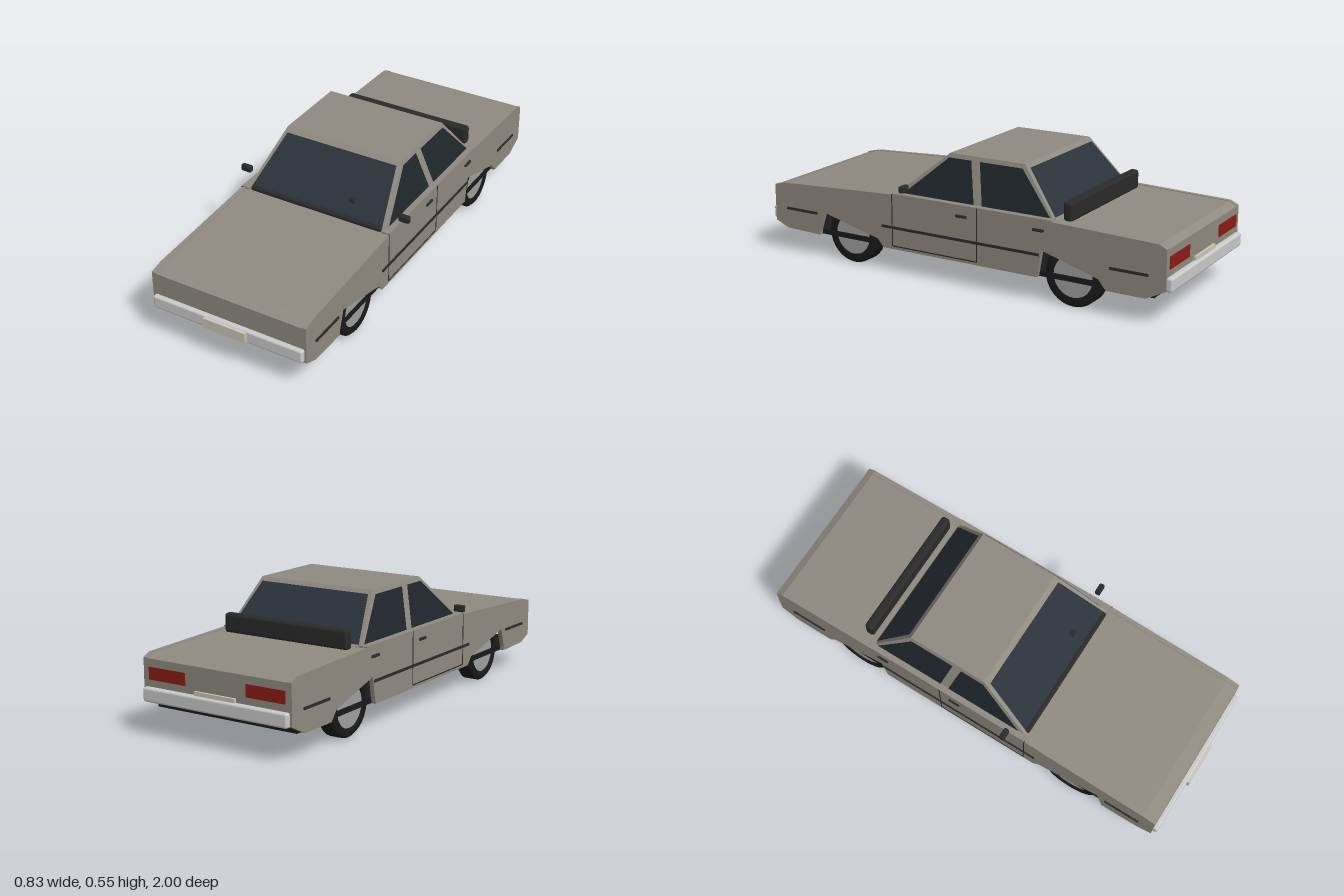
import * as THREE from 'three';
import { RoundedBoxGeometry } from 'three/addons/geometries/RoundedBoxGeometry.js';

const mat = (color, side = THREE.FrontSide) => new THREE.MeshStandardMaterial({ color, side });
const PAINT = mat(0x908b81), GLASS = mat(0x2b323a, THREE.DoubleSide), SIDE_GLASS = mat(0x20262c, THREE.DoubleSide);
const BLACK = mat(0x1a1a1a), TRIM = mat(0x2a2a2a), CHROME = mat(0xc0c0c0), HUB = mat(0xa0a0a0);
const RED = mat(0x8c1c16), PLATE = mat(0xcfc8b8);

export function createModel() {
  const car = new THREE.Group();
  car.name = 'car';

  const add = (name, geometry, material, x = 0, y = 0, z = 0) => {
    const mesh = new THREE.Mesh(geometry, material);
    mesh.name = name;
    mesh.position.set(x, y, z);
    car.add(mesh);
    return mesh;
  };
  // box given by its limits on each axis
  const box = (name, material, [x0, x1], [y0, y1], [z0, z1], radius = 0) => {
    const size = [x1 - x0, y1 - y0, z1 - z0];
    const geometry = radius ? new RoundedBoxGeometry(...size, 2, radius) : new THREE.BoxGeometry(...size);
    return add(name, geometry, material, (x0 + x1) / 2, (y0 + y1) / 2, (z0 + z1) / 2);
  };
  const shapeOf = (points) => new THREE.Shape(points.map(([a, b]) => new THREE.Vector2(a, b)));
  // (z, y) outline extruded across x
  const slab = (name, points, width, x) => {
    const geometry = new THREE.ExtrudeGeometry(shapeOf(points), { depth: width, bevelEnabled: false });
    geometry.rotateY(-Math.PI / 2).translate(width / 2, 0, 0);
    return add(name, geometry, PAINT, x);
  };

  // bonnet, nose, rear deck and tail as one bent sheet
  slab('bodyShell', [
    [0.968, 0.145], [0.968, 0.305], [0.91, 0.32], [0.32, 0.35], [-0.47, 0.35], [-0.94, 0.337],
    [-0.975, 0.32], [-0.975, 0.145], [-0.955, 0.145], [-0.955, 0.305], [-0.47, 0.33],
    [0.32, 0.33], [0.91, 0.3], [0.948, 0.29], [0.948, 0.145],
  ], 0.692, 0);

  // side panels with slanted wheel arches
  const sideOutline = [
    [0.968, 0.14], [0.968, 0.308], [0.91, 0.322], [0.32, 0.353], [-0.47, 0.353], [-0.94, 0.339],
    [-0.975, 0.322], [-0.975, 0.15], [-0.89, 0.107],
    [-0.715, 0.107], [-0.68, 0.15], [-0.42, 0.225], [-0.4, 0.107],
    [0.37, 0.107], [0.4, 0.142], [0.69, 0.215], [0.717, 0.13], [0.72, 0.107], [0.9, 0.112],
  ];
  box('floor', BLACK, [-0.345, 0.345], [0.108, 0.131], [-0.918, 0.915]);

  // cabin: a box drawn in towards the roof
  const cabin = new THREE.BoxGeometry(1, 1, 1).toNonIndexed();
  const p = cabin.attributes.position;
  for (let i = 0; i < p.count; i++) {
    const top = p.getY(i) > 0, front = p.getZ(i) > 0;
    const x = Math.sign(p.getX(i)) * (top ? 0.283 : 0.338);
    p.setXYZ(i, x, top ? 0.553 : 0.35, front ? (top ? 0.07 : 0.315) : (top ? -0.295 : -0.465));
  }
  cabin.computeVertexNormals();
  add('cabin', cabin, PAINT);

  // panes lie just outside the sloping cabin faces
  const pane = (name, points, material, place) => {
    const geometry = new THREE.ShapeGeometry(shapeOf(points));
    const q = geometry.attributes.position;
    for (let i = 0; i < q.count; i++) {
      const a = q.getX(i), y = q.getY(i);
      q.setXYZ(i, ...place(a, y, (y - 0.35) / 0.203));
    }
    geometry.computeVertexNormals();
    add(name, geometry, material);
  };
  const screen = [[-0.322, 0.36], [0.322, 0.36], [0.27, 0.537], [-0.27, 0.537]];
  pane('windshield', screen, GLASS, (x, y, t) => [x, y, 0.319 - 0.245 * t]);
  pane('rearWindow', screen.map(([x, y]) => [-x, y]), GLASS, (x, y, t) => [x, y, -0.469 + 0.17 * t]);

  for (const s of [1, -1]) {
    const label = s > 0 ? 'left' : 'right';
    const across = (a, b) => (s > 0 ? [a, b] : [-b, -a]);
    slab(label + 'SidePanel', sideOutline, 0.02, s * 0.354);
    box(label + 'BeltSill', PAINT, across(0.325, 0.364), [0.343, 0.358], [-0.465, 0.32]);

    // side windows, separated by a leaning pillar
    const onSide = (z, y, t) => [s * (0.341 - 0.055 * t), y, z];
    const facing = (points) => (s > 0 ? points.slice().reverse() : points);
    pane(label + 'FrontSideWindow', facing([[0.275, 0.36], [0.07, 0.535], [-0.04, 0.535], [-0.08, 0.36]]), SIDE_GLASS, onSide);
    pane(label + 'RearSideWindow', facing([[-0.12, 0.36], [-0.082, 0.535], [-0.288, 0.535], [-0.445, 0.36]]), SIDE_GLASS, onSide);

    // trim strips, door seams and handles
    for (const z of [[0.73, 0.9], [-0.41, 0.375], [-0.9, -0.73]])
      box(label + 'TrimStrip', TRIM, across(0.36, 0.369), [0.2, 0.211], z);
    for (const z of [0.32, -0.11])
      box(label + 'DoorSeam', TRIM, across(0.36, 0.3655), [0.12, 0.355], [z - 0.002, z + 0.002]);
    box(label + 'DoorLowerSeam', TRIM, across(0.36, 0.3655), [0.119, 0.124], [-0.11, 0.32]);
    for (const z of [-0.035, -0.405])
      box(label + 'DoorHandle', TRIM, across(0.36, 0.372), [0.304, 0.316], [z - 0.027, z + 0.027], 0.004);

    box(label + 'Mirror', TRIM, across(0.366, 0.415), [0.381, 0.411], [0.226, 0.25], 0.006);
    box(label + 'TailLight', RED, across(0.15, 0.335), [0.235, 0.287], [-0.979, -0.97]);

    // wheels
    for (const [end, z] of [['Front', 0.55], ['Rear', -0.555]]) {
      const profile = [[0.09, -0.036], [0.118, -0.039], [0.13, -0.028], [0.13, 0.028], [0.118, 0.039], [0.09, 0.036], [0.09, -0.036]];
      const tyre = new THREE.LatheGeometry(profile.map(([r, h]) => new THREE.Vector2(r, h)), 32).rotateZ(Math.PI / 2);
      add(label + end + 'Tyre', tyre, BLACK, s * 0.306, 0.13, z);
      add(label + end + 'Hub', new THREE.CylinderGeometry(0.092, 0.092, 0.066, 32).rotateZ(Math.PI / 2), HUB, s * 0.306, 0.13, z);
    }
  }

  // bumpers and plates
  box('frontBumper', CHROME, [-0.355, 0.355], [0.145, 0.205], [0.945, 0.988], 0.01);
  box('rearBumper', CHROME, [-0.355, 0.355], [0.145, 0.205], [-0.998, -0.955], 0.01);
  box('frontPlate', PLATE, [-0.1, 0.1], [0.152, 0.199], [0.98, 1]);
  box('rearPlate', PLATE, [-0.1, 0.1], [0.175, 0.222], [-0.985, -0.97]);

  // cowl, windshield block and rear spoiler
  box('cowl', TRIM, [-0.322, 0.322], [0.342, 0.367], [0.275, 0.318], 0.01);
  box('windshieldBlock', TRIM, [0.135, 0.16], [0.394, 0.419], [0.232, 0.256], 0.003);
  box('rearSpoiler', TRIM, [-0.31, 0.31], [0.345, 0.43], [-0.53, -0.488], 0.014);

  return car;
}
